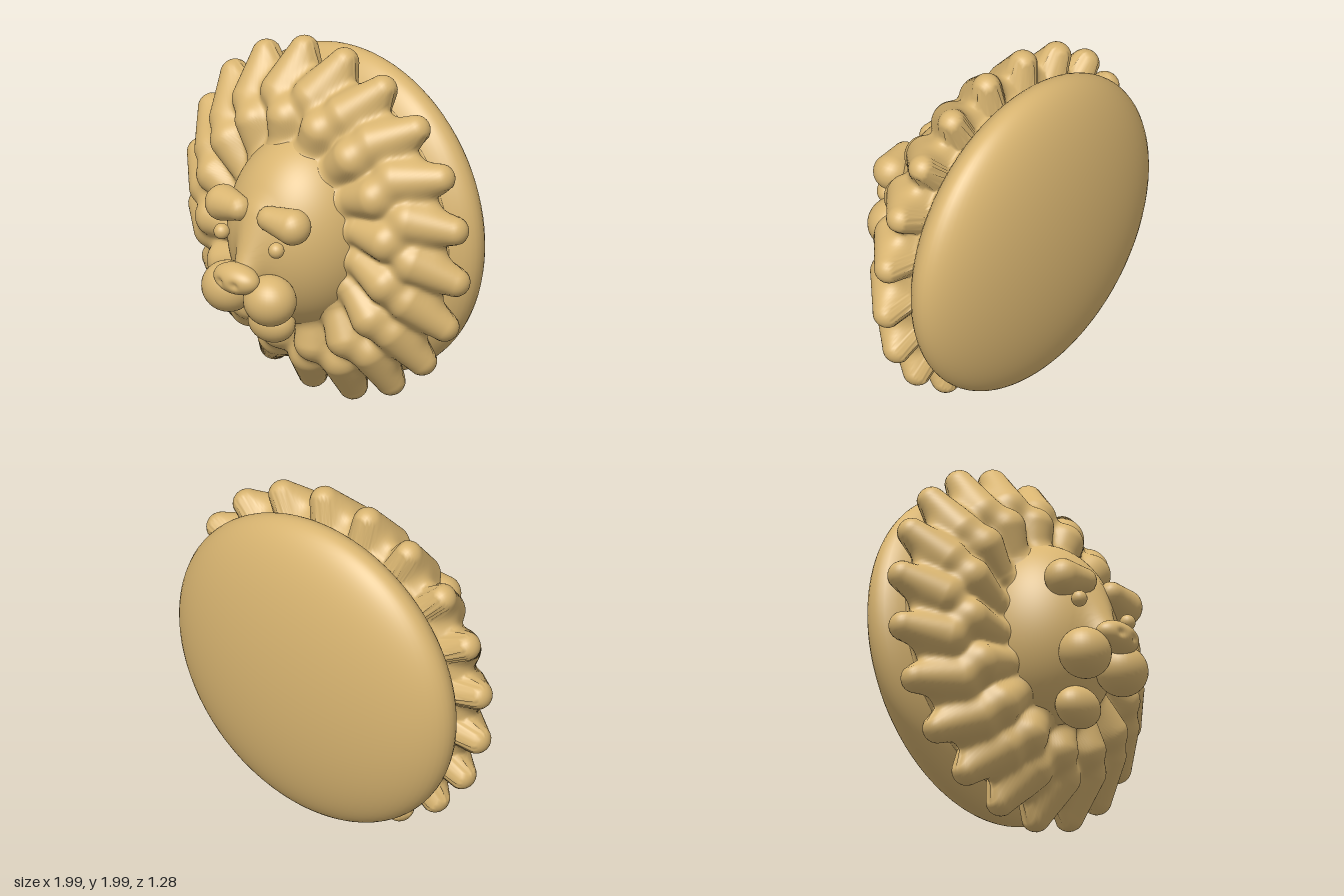
import * as THREE from 'three';
import { mergeVertices } from 'three/addons/utils/BufferGeometryUtils.js';

const V = (x, y, z) => new THREE.Vector3(x, y, z);

// Distance to a rounded, tapering strand
function strandField(a, b, ra, rb) {
  const ab = b.clone().sub(a);
  const lengthSq = ab.lengthSq();
  const v = V(0, 0, 0);
  return (p) => {
    v.subVectors(p, a);
    const t = THREE.MathUtils.clamp(v.dot(ab) / lengthSq, 0, 1);
    return v.addScaledVector(ab, -t).length() - (ra + (rb - ra) * t);
  };
}

// Approximate distance to an ellipsoid
function ellipsoidField(center, radii) {
  const v = V(0, 0, 0);
  return (p) => {
    const k0 = v.subVectors(p, center).divide(radii).length();
    const k1 = v.divide(radii).length();
    return k0 * (k0 - 1) / k1;
  };
}

// Wraps a sphere patch (pole toward +z) onto the smooth union of several fields
function blendedGeometry(fields, softness, center, columns, rows, start, span) {
  const union = (p) => fields.reduce((sum, field) => {
    const d = field(p);
    const h = Math.max(softness - Math.abs(sum - d), 0) / softness;
    return Math.min(sum, d) - h * h * softness / 4;
  }, 10);
  let geometry = new THREE.SphereGeometry(1, columns, rows, 0, Math.PI * 2, start, span);
  geometry.rotateX(Math.PI / 2);
  geometry.deleteAttribute('uv');
  geometry.deleteAttribute('normal');
  geometry = mergeVertices(geometry, 1e-5);
  const position = geometry.attributes.position;
  const dir = V(0, 0, 0);
  const p = V(0, 0, 0);
  for (let i = 0; i < position.count; i++) {
    dir.fromBufferAttribute(position, i);
    let t = 1.15;
    for (let step = 0; step < 70; step++) {
      const d = union(p.copy(center).addScaledVector(dir, t));
      if (d < 0.0005) break;
      t -= d * 0.8;
    }
    position.setXYZ(i, p.x, p.y, p.z);
  }
  geometry.computeVertexNormals();
  return geometry;
}

export function createModel() {
  const model = new THREE.Group();
  model.name = 'lionHead';
  const clay = new THREE.MeshStandardMaterial({ color: 0xd9b571 });
  clay.name = 'sandyClay';

  const add = (name, geometry) => {
    const mesh = new THREE.Mesh(geometry, clay);
    mesh.name = name;
    model.add(mesh);
    return mesh;
  };

  const ellipsoid = (name, center, radii, segments = 32) => {
    const mesh = add(name, new THREE.SphereGeometry(1, segments, Math.round(segments * 0.7)));
    mesh.position.copy(center);
    mesh.scale.copy(radii);
    return mesh;
  };

  // Domed back of the head
  const domeCenter = V(0, 1, -0.36);
  const domeRadii = V(0.905, 0.905, 0.28);
  ellipsoid('backDome', domeCenter, domeRadii, 64);

  // Mane: two rings of swirling locks melting into a shallow bed, the face and the dome
  const faceCenter = V(0, 1, 0);
  const faceRadii = V(0.415, 0.535, 0.44);
  const polar = (radius, degrees, z) => {
    const a = THREE.MathUtils.degToRad(degrees);
    return V(radius * Math.cos(a), 1 + radius * Math.sin(a), z);
  };
  const mane = [
    ellipsoidField(V(0, 1, -0.13), V(0.86, 0.86, 0.2)),
    ellipsoidField(faceCenter, faceRadii.clone().subScalar(0.012)),
    ellipsoidField(domeCenter, domeRadii.clone().subScalar(0.01)),
  ];
  for (let i = 0; i < 20; i++) {
    const a = i * 18;
    mane.push(strandField(polar(0.73, a - 1, -0.03), polar(0.92, a - 7, -0.16), 0.115, 0.08));
  }
  for (let i = 0; i < 16; i++) {
    const a = i * 22.5 + 11.25;
    mane.push(strandField(polar(0.45, a + 3, 0.06), polar(0.62, a - 2, 0.055), 0.08, 0.11));
  }
  add('mane', blendedGeometry(mane, 0.055, V(0, 1, -0.25), 360, 100, Math.PI * 0.2, Math.PI * 0.38));

  // Face with the nose bridge growing out of it
  const face = [
    ellipsoidField(faceCenter, faceRadii),
    strandField(V(0, 1.15, 0.36), V(0, 0.88, 0.48), 0.05, 0.065),
  ];
  add('face', blendedGeometry(face, 0.12, faceCenter, 96, 72, 0, Math.PI * 0.7));

  // Muzzle, brows, eyes and chin
  ellipsoid('chin', V(0, 0.54, 0.28), V(0.142, 0.112, 0.105));
  for (const side of [-1, 1]) {
    const label = side > 0 ? 'left' : 'right';
    ellipsoid(label + 'Muzzle', V(side * 0.15, 0.752, 0.455), V(0.147, 0.137, 0.137));
    ellipsoid(label + 'Eye', V(side * 0.197, 1.05, 0.455), V(0.043, 0.043, 0.043), 20);
    const browCenter = V(side * 0.2, 1.18, 0.39);
    const brow = [strandField(V(side * 0.25, 1.178, 0.385), V(side * 0.11, 1.195, 0.415), 0.098, 0.068)];
    add(label + 'Brow', blendedGeometry(brow, 0.01, browCenter, 36, 24, 0, Math.PI));
  }

  // Nose with two pressed-in nostrils
  const noseGeometry = new THREE.SphereGeometry(1, 56, 40);
  noseGeometry.scale(0.145, 0.082, 0.09);
  const p = noseGeometry.attributes.position;
  for (let i = 0; i < p.count; i++) {
    if (p.getZ(i) <= 0) continue;
    const d = Math.hypot(Math.abs(p.getX(i)) - 0.05, p.getY(i) + 0.01);
    p.setZ(i, p.getZ(i) - 0.018 * Math.exp(-((d / 0.022) ** 2)));
  }
  noseGeometry.computeVertexNormals();
  add('nose', noseGeometry).position.set(0, 0.865, 0.55);

  return model;
}
